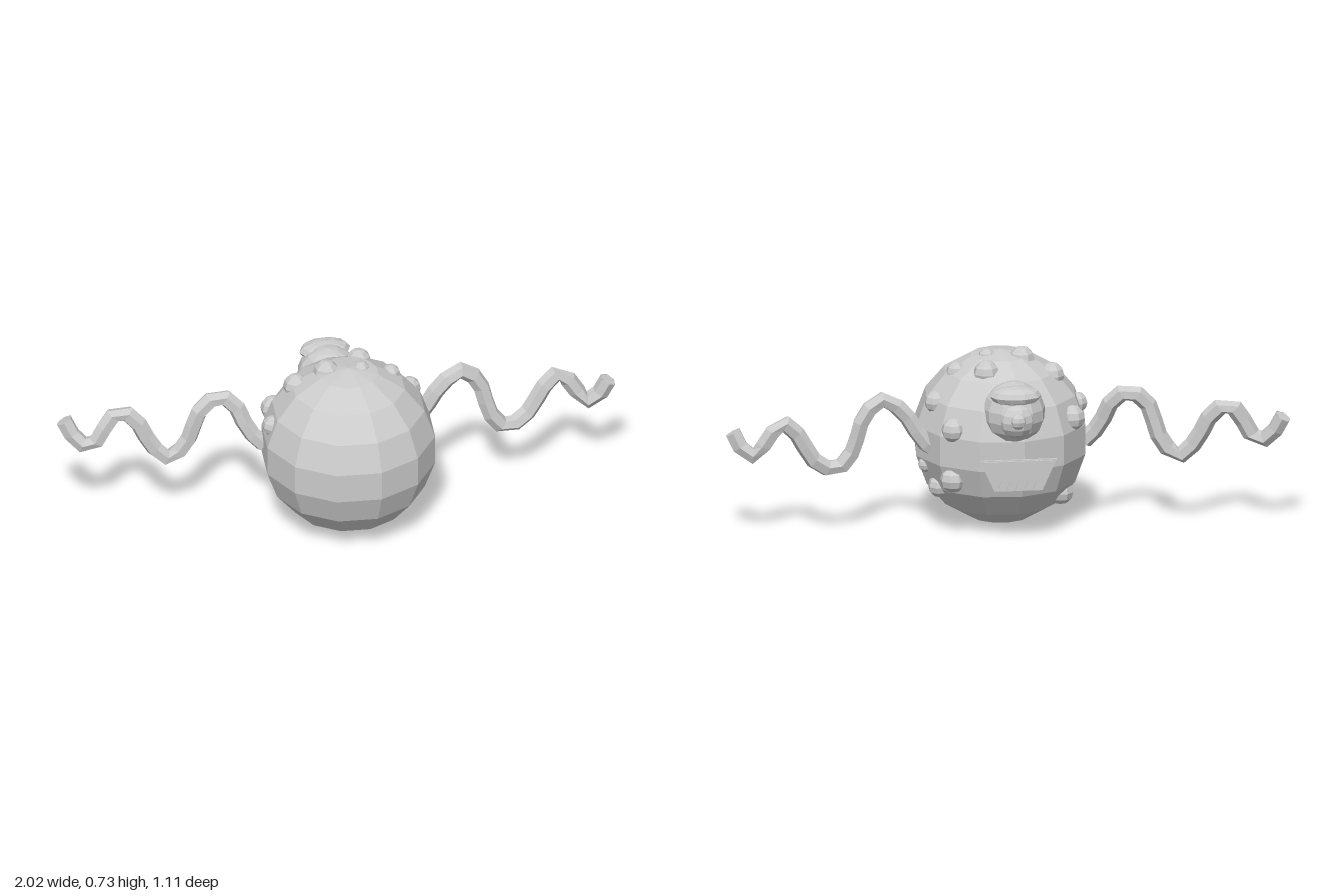
import * as THREE from 'three';

const grey = new THREE.MeshStandardMaterial({ color: 0xcccccc, flatShading: true, side: THREE.DoubleSide });
const CENTRE = new THREE.Vector3(-0.07, 0.362, 0.17);
const R = 0.357;

function add(parent, name, geometry, pos = [0, 0, 0], scale = [1, 1, 1]) {
  const mesh = new THREE.Mesh(geometry, grey);
  mesh.name = name;
  mesh.position.set(...pos);
  mesh.scale.set(...scale);
  parent.add(mesh);
  return mesh;
}

// Thin plate cut from a polygon in the XY plane
function plate(points, depth) {
  const shape = new THREE.Shape(points.map(([x, y]) => new THREE.Vector2(x, y)));
  return new THREE.ExtrudeGeometry(shape, { depth, bevelEnabled: false });
}

// Wavy six-sided arm with a flat end
function addArm(parent, name, points) {
  const path = new THREE.CatmullRomCurve3(points.map(p => new THREE.Vector3(...p)));
  const arm = new THREE.Group();
  arm.name = name;
  add(arm, 'armTube', new THREE.TubeGeometry(path, 20, 0.035, 6), [0, 0, 0]);
  const tip = path.getPoint(1);
  const cap = add(arm, 'armTip', new THREE.CircleGeometry(0.034, 6), tip.toArray());
  cap.lookAt(tip.clone().add(path.getTangent(1)));
  parent.add(arm);
}

export function createModel() {
  const model = new THREE.Group();
  model.name = 'roundMonster';

  // Ball body
  add(model, 'body', new THREE.SphereGeometry(R, 12, 9, Math.PI / 12), CENTRE.toArray());

  // Warts: rough position, pulled onto the body surface, and radius
  const warts = [
    [0.25, 0.46, 0.035, 0.05], [0.24, 0.235, 0.05, 0.053], [0.24, 0.175, 0.17, 0.046],
    [0.27, 0.265, 0.225, 0.032], [0.23, 0.54, 0.2, 0.046], [0.12, 0.65, 0.21, 0.042],
    [0.06, 0.67, 0.07, 0.053], [-0.13, 0.7, 0.095, 0.054], [-0.01, 0.69, 0.175, 0.036],
    [-0.235, 0.64, 0.015, 0.052], [-0.26, 0.475, -0.11, 0.052], [-0.38, 0.5, 0.02, 0.042],
    [-0.26, 0.12, -0.03, 0.052],
  ];
  for (const [x, y, z, r] of warts) {
    const p = new THREE.Vector3(x, y, z).sub(CENTRE).setLength(0.335).add(CENTRE);
    add(model, 'wart', new THREE.SphereGeometry(r, 8, 6), p.toArray());
  }

  // Arms
  addArm(model, 'leftArm', [
    [0.22, 0.33, 0.17], [0.28, 0.38, 0.19], [0.35, 0.5, 0.225], [0.43, 0.56, 0.255], [0.5, 0.5, 0.28],
    [0.54, 0.34, 0.315], [0.6, 0.275, 0.34], [0.69, 0.32, 0.365], [0.75, 0.43, 0.39],
    [0.81, 0.48, 0.41], [0.86, 0.42, 0.435], [0.9, 0.345, 0.465], [0.94, 0.36, 0.49], [0.975, 0.44, 0.52],
  ]);
  addArm(model, 'rightArm', [
    [-0.33, 0.35, -0.05], [-0.38, 0.42, -0.09], [-0.41, 0.52, -0.13], [-0.46, 0.565, -0.17], [-0.53, 0.52, -0.2],
    [-0.58, 0.36, -0.235], [-0.64, 0.295, -0.27], [-0.7, 0.36, -0.31], [-0.74, 0.46, -0.345],
    [-0.8, 0.515, -0.39], [-0.86, 0.44, -0.415], [-0.9, 0.365, -0.44], [-0.94, 0.38, -0.48], [-0.975, 0.47, -0.525],
  ]);

  // Face, turned towards the back; its local +z is where it looks
  const face = new THREE.Group();
  face.name = 'face';
  face.position.copy(CENTRE);
  face.rotation.y = Math.PI - 0.42;
  model.add(face);

  add(face, 'eyeball', new THREE.SphereGeometry(0.128, 12, 9), [0.02, 0.165, 0.265]);
  add(face, 'iris', new THREE.SphereGeometry(0.075, 10, 8), [0.02, 0.155, 0.345]);
  add(face, 'pupil', new THREE.SphereGeometry(0.035, 8, 6), [0.02, 0.165, 0.4]);
  add(face, 'eyelid', new THREE.SphereGeometry(1, 10, 6), [0.02, 0.25, 0.325], [0.105, 0.04, 0.07]);

  // Mouth: trapezoid plate with large upper and narrow lower teeth
  const mouth = new THREE.Group();
  mouth.name = 'mouth';
  mouth.position.set(0.027, -0.072, 0.348);
  face.add(mouth);
  add(mouth, 'mouthPlate', plate([[-0.156, 0.063], [-0.098, -0.065], [0.098, -0.065], [0.156, 0.063]], 0.01));
  for (let i = 0; i < 5; i++) {
    const u = (i - 2) * 0.056;
    add(mouth, 'upperTooth', plate([[u - 0.026, 0.06], [u, 0.005], [u + 0.026, 0.06]], 0.01), [0, 0, 0.01]);
    const l = (i - 2) * 0.036;
    add(mouth, 'lowerTooth', plate([[l - 0.014, -0.063], [l + 0.014, -0.063], [l, -0.025]], 0.01), [0, 0, 0.01]);
  }
  return model;
}
